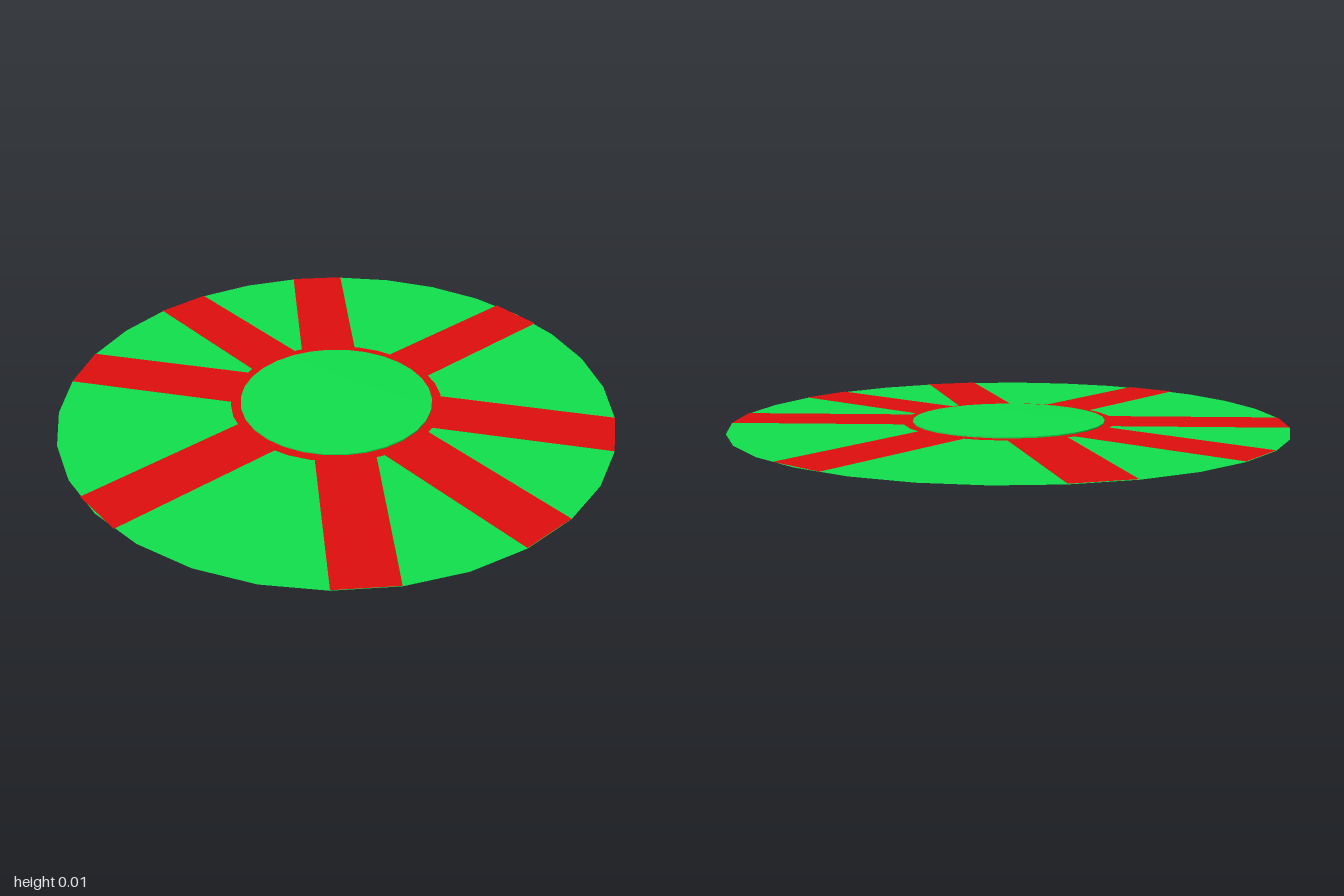
import * as THREE from 'three';

export function createModel() {
  const model = new THREE.Group();
  const rad = THREE.MathUtils.degToRad;
  const green = new THREE.MeshStandardMaterial({ color: 0x10e04c, side: THREE.DoubleSide });
  const red = new THREE.MeshStandardMaterial({ color: 0xe00e0e, side: THREE.DoubleSide });
  const SIDES = 30;

  const add = (name, geometry, material, y) => {
    const mesh = new THREE.Mesh(geometry, material);
    mesh.name = name;
    mesh.position.y = y;
    model.add(mesh);
    return mesh;
  };
  const flatDisc = (radius) =>
    new THREE.CircleGeometry(radius, SIDES, rad(3)).rotateX(-Math.PI / 2);

  // Flat base disc
  add('baseDisc', flatDisc(1), green, 0);

  // Four stripes across the full diameter, unevenly spaced
  const length = 2 * Math.cos(Math.PI / SIDES);
  const width = 2 * Math.sin(Math.PI / SIDES);
  [81, 27, -27, -63].forEach((angle, i) => {
    const strip = new THREE.PlaneGeometry(length, width).rotateX(-Math.PI / 2);
    add('stripe' + (i + 1), strip, red, 0.002).rotation.y = rad(angle);
  });

  // Red collar showing around the hub
  add('collar', flatDisc(0.385), red, 0.0022);

  // Hub: low wall with a very shallow domed cap
  const wall = new THREE.CylinderGeometry(0.35, 0.35, 0.007, SIDES, 1, true, rad(3));
  add('hubWall', wall, green, 0.0035);
  const cap = [[0.35, 0], [0.24, 0.0015], [0.12, 0.0026], [0, 0.003]];
  const capGeometry = new THREE.LatheGeometry(
    cap.map(([r, y]) => new THREE.Vector2(r, y)), SIDES, rad(3));
  add('hubCap', capGeometry, green, 0.007);

  return model;
}
